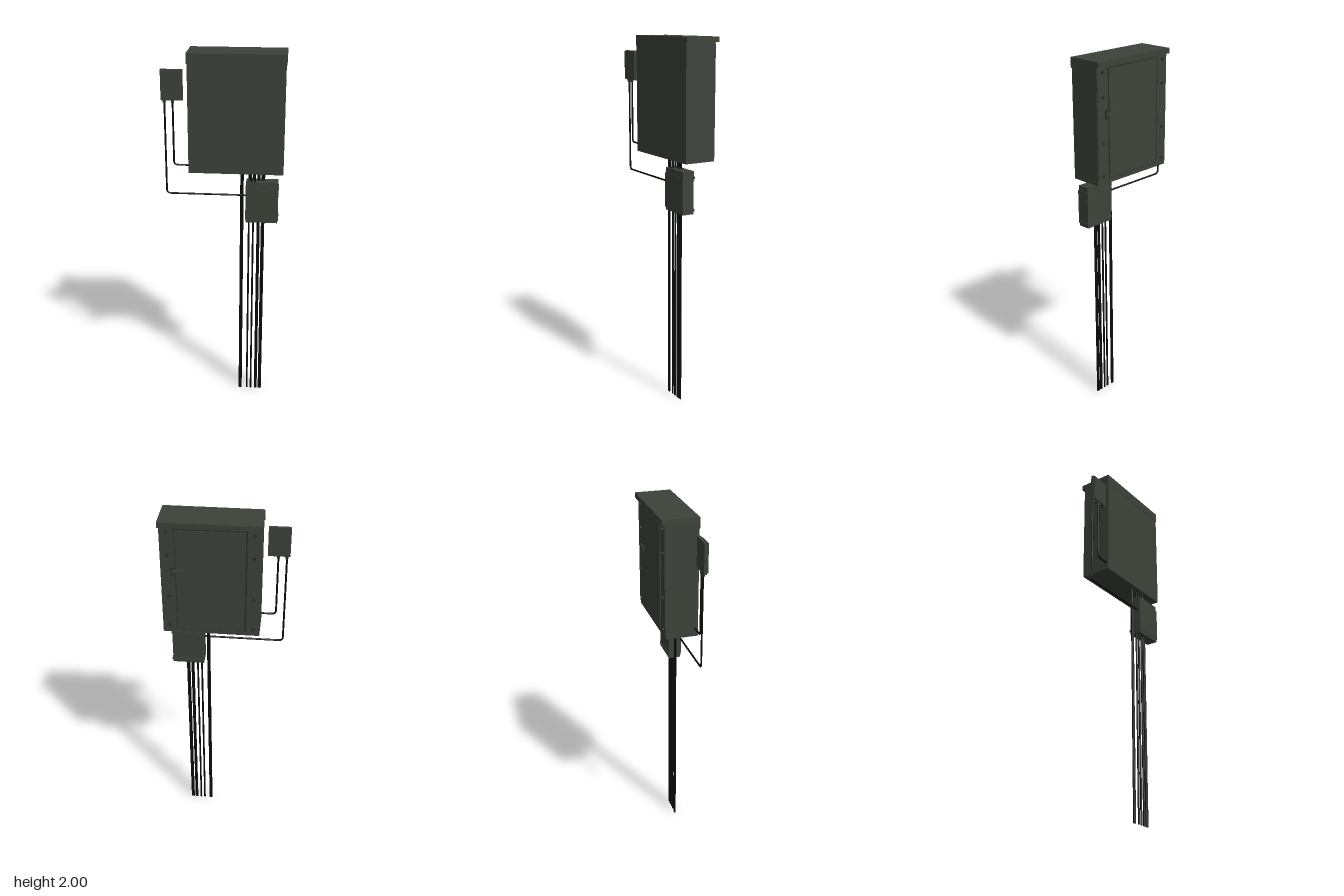
import * as THREE from 'three';

const green = new THREE.MeshStandardMaterial({ color: 0x3c423a });
green.name = 'dark green paint';
const black = new THREE.MeshStandardMaterial({ color: 0x0a0c0b });
black.name = 'black cable';
const dark = new THREE.MeshStandardMaterial({ color: 0x2b302a });
dark.name = 'dark fittings';

// box given by its limits on each axis
function slab(parent, name, [x0, x1], [y0, y1], [z0, z1], mat = green) {
  const m = new THREE.Mesh(new THREE.BoxGeometry(x1 - x0, y1 - y0, z1 - z0), mat);
  m.position.set((x0 + x1) / 2, (y0 + y1) / 2, (z0 + z1) / 2);
  m.name = name;
  parent.add(m);
  return m;
}

// upright round bar
function rod(parent, name, x, z, y0, y1, r, mat = black) {
  const m = new THREE.Mesh(new THREE.CylinderGeometry(r, r, y1 - y0, 10), mat);
  m.position.set(x, (y0 + y1) / 2, z);
  m.name = name;
  parent.add(m);
}

// L-shaped cable: down from the side box, rounded bend, then across
function bentCable(parent, name, x, yTop, yLow, xEnd, z) {
  const b = 0.022;
  const v = (px, py) => new THREE.Vector3(px, py, z);
  const path = new THREE.CurvePath();
  path.add(new THREE.LineCurve3(v(x, yTop), v(x, yLow + b)));
  path.add(new THREE.QuadraticBezierCurve3(v(x, yLow + b), v(x, yLow), v(x + b, yLow)));
  path.add(new THREE.LineCurve3(v(x + b, yLow), v(xEnd, yLow)));
  const m = new THREE.Mesh(new THREE.TubeGeometry(path, 160, 0.005, 8), black);
  m.name = name;
  parent.add(m);
}

export function createModel() {
  const model = new THREE.Group();
  model.name = 'electricalCabinet';

  // main cabinet with overhanging roof
  const cabinet = new THREE.Group();
  cabinet.name = 'cabinet';
  model.add(cabinet);
  slab(cabinet, 'cabinetBody', [-0.186, 0.319], [1.365, 1.975], [-0.08, 0.094]);
  slab(cabinet, 'roof', [-0.19, 0.324], [1.972, 2.0], [-0.1, 0.095]);
  slab(cabinet, 'frontRoofLip', [-0.19, 0.324], [1.945, 1.975], [0.09, 0.0955]);

  // back face: frame strips, door and its shadow gap
  for (const [a, b] of [[0.245, 0.317], [-0.184, -0.117]])
    slab(cabinet, 'doorFrame', [a, b], [1.385, 1.965], [-0.084, -0.079]);
  slab(cabinet, 'doorGap', [-0.117, 0.245], [1.388, 1.962], [-0.082, -0.079], dark);
  slab(cabinet, 'door', [-0.108, 0.24], [1.394, 1.956], [-0.088, -0.079]);

  // bolts down both sides of the door
  const bolt = new THREE.CylinderGeometry(0.009, 0.009, 0.006, 12).rotateX(Math.PI / 2);
  for (const x of [0.282, -0.152]) {
    for (const y of [1.41, 1.585, 1.82, 1.945]) {
      const m = new THREE.Mesh(bolt, dark);
      m.position.set(x, y, -0.086);
      m.name = 'bolt';
      cabinet.add(m);
    }
  }

  // door handle
  slab(cabinet, 'handlePlate', [0.252, 0.268], [1.708, 1.752], [-0.091, -0.083], dark);
  slab(cabinet, 'handleLever', [0.19, 0.268], [1.722, 1.738], [-0.095, -0.087]);

  // junction box below the cabinet
  const junction = new THREE.Group();
  junction.name = 'junctionBox';
  model.add(junction);
  slab(junction, 'junctionBody', [0.122, 0.294], [1.09, 1.32], [0.028, 0.094]);
  slab(junction, 'junctionCover', [0.12, 0.296], [1.118, 1.28], [0.09, 0.098]);
  for (const y of [1.112, 1.286])
    slab(junction, 'junctionBand', [0.119, 0.298], [y - 0.006, y + 0.006], [0.024, 0.097]);

  // small box at the side
  const side = new THREE.Group();
  side.name = 'sideBox';
  model.add(side);
  slab(side, 'sideBoxBody', [-0.325, -0.21], [1.755, 1.915], [0.073, 0.089]);
  slab(side, 'sideBoxLid', [-0.321, -0.213], [1.759, 1.911], [0.089, 0.096]);
  rod(side, 'sideGland', -0.308, 0.077, 1.742, 1.758, 0.008, dark);
  rod(side, 'sideGland', -0.264, 0.081, 1.742, 1.758, 0.008, dark);

  // cables from the side box
  bentCable(model, 'longSideCable', -0.308, 1.76, 1.24, 0.125, 0.074);
  bentCable(model, 'shortSideCable', -0.264, 1.76, 1.405, -0.18, 0.081);

  // supply cables down to the ground; the outer one bypasses the junction box
  for (const x of [0.0945, 0.1025])
    rod(model, 'outerCable', x, 0.058, 0, 1.37, 0.0055);
  for (const x of [0.138, 0.161, 0.186, 0.193, 0.209, 0.218])
    rod(model, 'supplyCable', x, 0.058, 0, 1.37, 0.0052);

  // short links and glands between the two boxes
  for (const x of [0.15, 0.17])
    rod(model, 'linkCable', x, 0.084, 1.315, 1.37, 0.004);
  for (const x of [0.138, 0.161, 0.19, 0.214])
    rod(model, 'cableGland', x, 0.058, 1.316, 1.328, 0.009, dark);

  return model;
}
